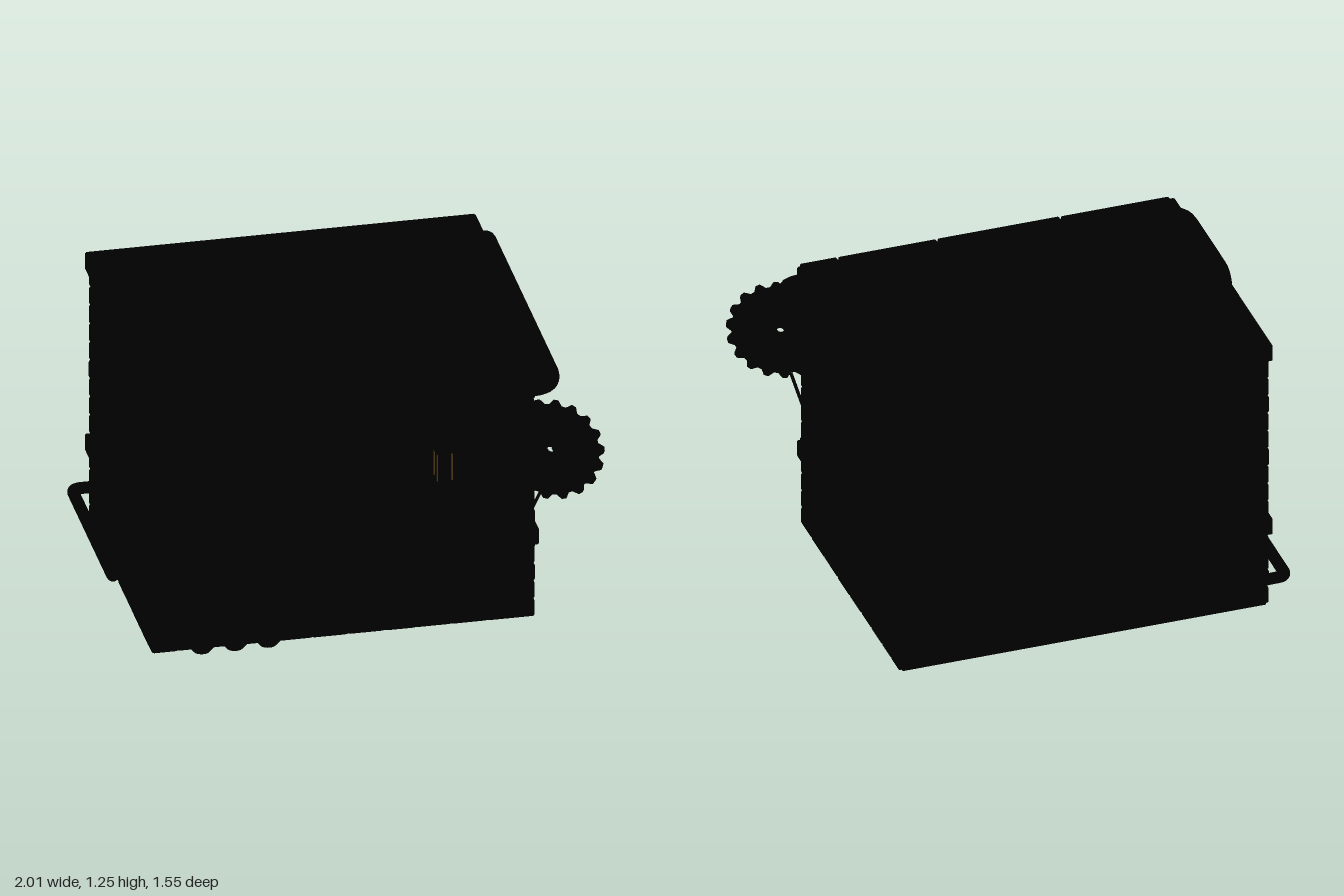
import * as THREE from 'three';
import { mergeGeometries } from 'three/addons/utils/BufferGeometryUtils.js';
import { RoundedBoxGeometry } from 'three/addons/geometries/RoundedBoxGeometry.js';

const V = (x, y, z) => new THREE.Vector3(x, y, z);
const dark = new THREE.MeshStandardMaterial({ color: 0x000000, side: THREE.DoubleSide });
const amber = new THREE.MeshStandardMaterial({ color: 0x4a3210 });

// small seeded random
let seed = 7;
const rnd = () => (seed = (seed * 16807) % 2147483647) / 2147483647;

export function createModel() {
  seed = 7;
  const model = new THREE.Group();
  const add = (name, geo, pos = [0, 0, 0], rot = [0, 0, 0], parent = model, mat = dark) => {
    const m = new THREE.Mesh(geo, mat);
    m.name = name;
    m.position.set(...pos);
    m.rotation.set(...rot);
    parent.add(m);
    return m;
  };
  const group = (name, pos = [0, 0, 0]) => {
    const g = new THREE.Group();
    g.name = name;
    g.position.set(...pos);
    model.add(g);
    return g;
  };
  const box = (w, h, d) => new THREE.BoxGeometry(w, h, d);
  // straight runs joined by rounded elbows, closed with discs
  const pipe = (name, pts, r, bend, parent = model) => {
    const path = new THREE.CurvePath();
    let from = pts[0];
    for (let i = 1; i < pts.length; i++) {
      const p = pts[i];
      if (i === pts.length - 1) { path.add(new THREE.LineCurve3(from, p)); break; }
      const a = p.clone().add(pts[i - 1].clone().sub(p).setLength(bend));
      const b = p.clone().add(pts[i + 1].clone().sub(p).setLength(bend));
      path.add(new THREE.LineCurve3(from, a));
      path.add(new THREE.QuadraticBezierCurve3(a, p, b));
      from = b;
    }
    add(name, new THREE.TubeGeometry(path, pts.length * 40, r, 16), [0, 0, 0], [0, 0, 0], parent);
    for (const t of [0, 1]) {
      const cap = add(name + 'Cap', new THREE.CircleGeometry(r, 16), path.getPoint(t).toArray(), [0, 0, 0], parent);
      cap.quaternion.setFromUnitVectors(V(0, 0, 1), path.getTangent(t));
    }
  };
  // straight rod between two points
  const rod = (name, a, b, r, parent = model, r2 = r) => {
    const m = add(name, new THREE.CylinderGeometry(r2, r, a.distanceTo(b), 12), a.clone().lerp(b, 0.5).toArray(), [0, 0, 0], parent);
    m.quaternion.setFromUnitVectors(V(0, 1, 0), b.clone().sub(a).normalize());
  };

  // building core and flat roof
  add('core', box(1.59, 1.22, 1.225), [-0.045, 0.61, -0.1175]);
  add('roof', box(1.64, 0.07, 1.235), [-0.045, 1.213, -0.1125]);

  // brick courses on front, left and right; the back stays plain
  const walls = [
    { name: 'front', length: 1.62, ry: 0, origin: [-0.045, 0, 0.497] },
    { name: 'right', length: 1.24, ry: -Math.PI / 2, origin: [-0.842, 0, -0.11] },
    { name: 'left', length: 1.24, ry: Math.PI / 2, origin: [0.752, 0, -0.11] },
  ];
  for (const w of walls) {
    const stones = [], bands = [];
    const course = (list, y, h, depth, size, offset) => {
      let x = -w.length / 2;
      for (let i = 0; x < w.length / 2 - 0.01; i++) {
        let len = size * (0.8 + 0.4 * rnd()) * (i === 0 && offset ? 0.55 : 1);
        if (x + len > w.length / 2 - 0.04) len = w.length / 2 - x;
        const d = depth + 0.004 * rnd();
        const g = new RoundedBoxGeometry(len - 0.006, h - 0.006, d, 1, 0.007);
        list.push(g.translate(x + len / 2, y + h / 2, 0));
        x += len;
      }
    };
    for (let r = 0; r < 4; r++) course(stones, r * 0.082, 0.082, 0.024, 0.14, r % 2);
    for (let r = 0; r < 9; r++) course(stones, 0.412 + r * 0.085, 0.085, 0.024, 0.14, r % 2);
    course(bands, 0.328, 0.084, 0.058, 0.3, 0);
    course(bands, 1.17, 0.082, 0.058, 0.5, 0);
    add(w.name + 'Bricks', mergeGeometries(stones), w.origin, [0, w.ry, 0]);
    add(w.name + 'StoneBands', mergeGeometries(bands), w.origin, [0, w.ry, 0]);
  }

  // large pipe round the eaves, coming down the right wall, and the thin drain
  pipe('eavesPipe', [V(0.815, 1.112, -0.73), V(0.815, 1.112, 0.56), V(-0.915, 1.112, 0.56),
    V(-0.915, 1.112, 0.07), V(-0.915, 0.46, 0.07)], 0.054, 0.07);
  pipe('drainPipe', [V(-0.92, 0.5, 0.07), V(-0.92, 0.14, 0.07), V(-0.92, 0.14, -0.758), V(-0.82, 0.14, -0.758)], 0.025, 0.04);
  rod('pipeBranch', V(-0.915, 0.72, 0.08), V(-0.915, 0.62, -0.18), 0.052, model, 0.015);
  for (const [x, len] of [[-0.525, 0.1], [0.365, 0.02]])
    add('pipeCollar', new THREE.CylinderGeometry(0.06, 0.06, len, 16), [x, 1.112, 0.56], [0, 0, Math.PI / 2]);

  // valve wheel on the down pipe
  const valve = group('valveWheel', [-0.98, 0.64, 0.07]);
  valve.rotation.y = Math.PI / 2;
  add('rim', new THREE.TorusGeometry(0.092, 0.018, 10, 28), [0, 0, 0], [0, 0, 0], valve);
  for (let i = 0; i < 3; i++) add('spoke', box(0.18, 0.02, 0.016), [0, 0, 0], [0, 0, i * Math.PI / 3], valve);
  add('hub', new THREE.CylinderGeometry(0.03, 0.03, 0.04, 16), [0, 0, 0], [Math.PI / 2, 0, 0], valve);

  // pointed arch window with lattice
  const win = group('archedWindow', [-0.045, 0, 0.5]);
  const spring = 0.7, sill = 0.44;
  const arch = (Cls, w, h, base) => {
    const R = (w * w + h * h) / (2 * w), cx = w - R, a = Math.atan2(h, -cx);
    const s = new Cls();
    s.moveTo(-w, base);
    s.lineTo(w, base);
    s.absarc(cx, spring, R, 0, a, false);
    s.absarc(-cx, spring, R, Math.PI - a, Math.PI, false);
    s.closePath();
    return s;
  };
  const frame = arch(THREE.Shape, 0.205, 0.24, 0.42);
  frame.holes.push(arch(THREE.Path, 0.16, 0.19, sill));
  add('frame', new THREE.ExtrudeGeometry(frame, { depth: 0.045, bevelSize: 0.005, bevelThickness: 0.005, bevelSegments: 1, curveSegments: 12 }), [0, 0, 0], [0, 0, 0], win);
  add('pane', new THREE.ShapeGeometry(arch(THREE.Shape, 0.16, 0.19, sill)), [0, 0, 0.016], [0, 0, 0], win);
  add('sill', box(0.44, 0.035, 0.07), [0, 0.43, 0.02], [0, 0, 0], win);
  const R = (0.16 ** 2 + 0.19 ** 2) / 0.32;
  const inside = (x, y) => y > sill && Math.abs(x) < 0.16 && (y < spring || Math.hypot(Math.abs(x) + R - 0.16, y - spring) < R);
  for (const side of [-1, 1]) for (let k = 0; k < 12; k++) {
    const hits = [];
    for (let x = -0.16; x <= 0.16; x += 0.005) {
      const y = 0.27 + k * 0.072 + side * x * 1.4;
      if (inside(x, y)) hits.push(V(x, y, 0.024));
    }
    if (hits.length > 3) rod('latticeBar', hits[0], hits[hits.length - 1], 0.006, win);
  }
  // gabled hood: slats by the wall, an outer rafter pair and three purlins
  const slope = Math.atan2(0.25, 0.23), run = Math.hypot(0.25, 0.23);
  for (const s of [-1, 1]) {
    for (let i = 0; i < 6; i++) {
      const t = (i + 0.5) / 6;
      add('hoodSlat', box(run / 6 - 0.006, 0.022, 0.1), [s * 0.23 * t, 1.03 - 0.25 * t, 0.055], [0, 0, -s * slope], win);
    }
    add('hoodRafter', box(run + 0.06, 0.03, 0.036), [s * 0.125, 0.894, 0.198], [0, 0, -s * slope], win);
  }
  for (const x of [-0.225, 0, 0.225])
    add('hoodPurlin', box(0.045, 0.04, 0.23), [x, x ? 0.785 : 1.025, 0.115], [0, 0, 0], win);

  // three gas bottles with hoses up to a junction box
  const profile = [[0, 0.03], [0.035, 0.034], [0.056, 0.06], [0.062, 0.08], [0.062, 0.21], [0.052, 0.25], [0.025, 0.275], [0.022, 0.31], [0, 0.315]]
    .map(p => new THREE.Vector2(...p));
  [-0.66, -0.52, -0.38].forEach((x, i) => {
    const g = group('gasBottle', [x, 0, 0.58]);
    add('body', new THREE.LatheGeometry(profile, 20), [0, 0, 0], [0, 0, 0], g);
    for (const y of [0.085, 0.205]) add('band', new THREE.TorusGeometry(0.06, 0.008, 8, 20), [0, y, 0], [Math.PI / 2, 0, 0], g);
    add('valve', box(0.06, 0.02, 0.02), [0, 0.295, 0], [0, 0, 0], g);
    const top = -0.58 + i * 0.06;
    const hose = new THREE.CatmullRomCurve3([V(x, 0.31, 0.58), V(x, 0.37, 0.575), V(x + (top - x) * 0.5, 0.47, 0.53), V(top, 0.6, 0.525), V(top, 0.9, 0.53)]);
    add('gasHose', new THREE.TubeGeometry(hose, 30, 0.011, 8));
    add('hoseCoupling', new THREE.CylinderGeometry(0.02, 0.02, 0.07, 12), [top, 0.89, 0.545]);
  });
  add('junctionBox', new RoundedBoxGeometry(0.24, 0.12, 0.04, 2, 0.008), [-0.52, 0.88, 0.52]);
  add('hoseClamp', box(0.2, 0.025, 0.04), [-0.52, 0.78, 0.52]);

  // round vent low on the front
  const vent = group('roundVent', [0.41, 0.19, 0.505]);
  const ventPts = [[0.165, 0], [0.165, 0.03], [0.15, 0.055], [0.125, 0.06], [0.105, 0.04], [0.095, 0.035], [0.07, 0.05], [0.03, 0.062], [0, 0.065]]
    .map(p => new THREE.Vector2(...p));
  add('rim', new THREE.LatheGeometry(ventPts, 32), [0, 0, 0], [Math.PI / 2, 0, 0], vent);
  for (let i = 0; i < 6; i++) add('grilleBar', box(0.21, 0.01, 0.014), [0, 0, 0.06], [0, 0, i * Math.PI / 6], vent);
  add('hub', new THREE.CylinderGeometry(0.028, 0.034, 0.03, 16), [0, 0, 0.07], [Math.PI / 2, 0, 0], vent);

  // wall lantern with amber edges
  const lamp = group('lantern', [0.365, 0.78, 0.56]);
  add('body', box(0.056, 0.125, 0.056), [0, 0, 0], [0, 0, 0], lamp);
  for (const y of [-0.068, 0.068]) add('plate', box(0.075, 0.012, 0.075), [0, y, 0], [0, 0, 0], lamp);
  for (const x of [-0.031, 0.031]) for (const z of [-0.031, 0.031])
    add('edge', box(0.006, 0.125, 0.006), [x, 0, z], [0, 0, 0], lamp, amber);
  add('bracket', box(0.07, 0.05, 0.09), [0, 0.13, -0.02], [0, 0, 0], lamp);
  rod('cable', V(0, 0.14, 0), V(0, 0.33, 0), 0.008, lamp);

  // toothed sign wheel angled off the front corner
  const gear = group('gearSign', [0.797, 0.853, 0.665]);
  gear.rotation.y = -0.42;
  const disc = new THREE.Shape();
  const teeth = 18;
  for (let i = 0; i < teeth * 4; i++) {
    const a = ((i + 0.5) / (teeth * 4)) * Math.PI * 2, r = i % 4 < 2 ? 0.226 : 0.203;
    disc[i ? 'lineTo' : 'moveTo'](r * Math.cos(a), r * Math.sin(a));
  }
  disc.holes.push(new THREE.Path().absarc(0, 0, 0.016, 0, Math.PI * 2, true));
  add('disc', new THREE.ExtrudeGeometry(disc, { depth: 0.022, bevelEnabled: false }), [0, 0, -0.011], [0, 0, 0], gear);
  for (const z of [-0.01, 0.01]) {
    add('rim', new THREE.TorusGeometry(0.185, 0.014, 8, 36), [0, 0, z], [0, 0, 0], gear);
    add('hub', new THREE.TorusGeometry(0.032, 0.014, 8, 20), [0, 0, z], [0, 0, 0], gear);
  }
  add('longHand', box(0.016, 0.13, 0.01), [-0.05, 0.075, 0.014], [0, 0, 0.55], gear);
  add('shortHand', box(0.016, 0.09, 0.01), [0.05, 0.03, 0.014], [0, 0, -1.0], gear);
  // its wall mount, arms and stays
  add('gearMount', new THREE.CylinderGeometry(0.09, 0.12, 0.05, 24), [0.62, 0.85, 0.535], [Math.PI / 2, 0, 0]);
  rod('gearArm', V(0.62, 0.85, 0.54), V(0.75, 0.85, 0.635), 0.03);
  for (const s of [-1, 1]) rod('gearArm', V(0.64, 0.85 + s * 0.08, 0.51), V(0.74, 0.85 + s * 0.13, 0.63), 0.014);
  for (const x of [0.7, 0.76]) rod('gearStay', V(x, 0.65, 0.64), V(x - 0.05, 0.43, 0.52), 0.007);
  rod('gearStay', V(0.7, 1.03, 0.57), V(0.68, 0.96, 0.52), 0.01);

  return model;
}
